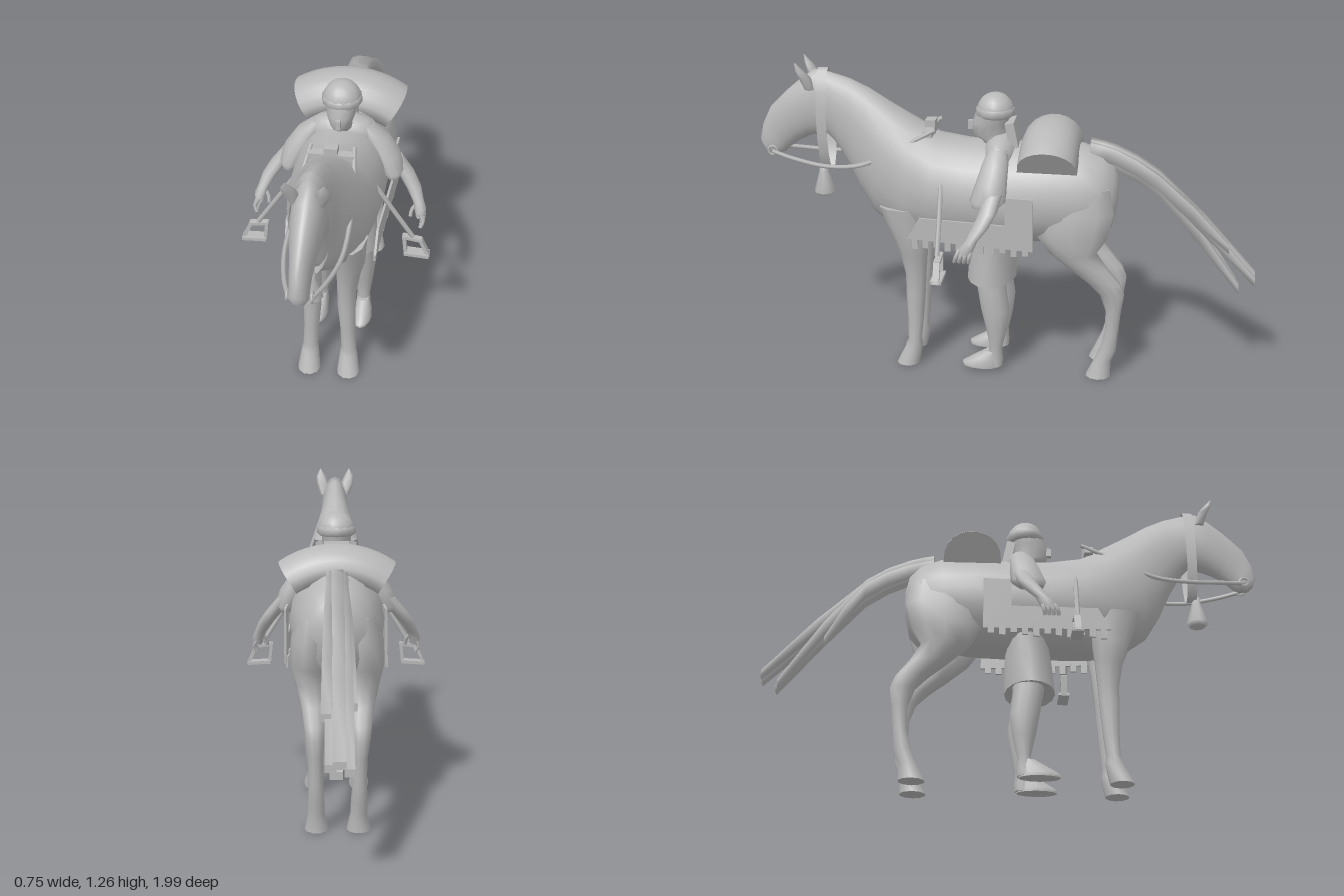
import * as THREE from 'three';

const grey = new THREE.MeshStandardMaterial({ color: 0xb8b8b8 });
grey.name = 'plain grey';
const greyTwoSided = new THREE.MeshStandardMaterial({ color: 0xb8b8b8, side: THREE.DoubleSide });
greyTwoSided.name = 'plain grey two sided';

const V = (x, y, z) => new THREE.Vector3(x, y, z);

// Skin a list of closed rings, capped at both ends, facing outward.
function loft(rings) {
  const n = rings[0].length, pos = [], idx = [];
  rings.forEach(r => r.forEach(p => pos.push(p.x, p.y, p.z)));
  for (let i = 0; i < rings.length - 1; i++) {
    for (let j = 0; j < n; j++) {
      const a = i * n + j, b = i * n + (j + 1) % n;
      idx.push(a, b, a + n, b, b + n, a + n);
    }
  }
  [0, rings.length - 1].forEach((ri, end) => {
    const c = rings[ri].reduce((s, p) => s.add(p), V(0, 0, 0)).divideScalar(n);
    const base = pos.length / 3;
    rings[ri].forEach(p => pos.push(p.x, p.y, p.z));
    pos.push(c.x, c.y, c.z);
    for (let j = 0; j < n; j++) {
      const a = base + j, b = base + (j + 1) % n;
      if (end) idx.push(a, b, base + n); else idx.push(b, a, base + n);
    }
  });
  // Flip the faces when the signed volume is negative.
  const at = i => V(pos[i * 3], pos[i * 3 + 1], pos[i * 3 + 2]);
  let volume = 0;
  for (let i = 0; i < idx.length; i += 3) volume += at(idx[i]).dot(at(idx[i + 1]).cross(at(idx[i + 2])));
  if (volume < 0) idx.reverse();
  const g = new THREE.BufferGeometry();
  g.setAttribute('position', new THREE.Float32BufferAttribute(pos, 3));
  g.setIndex(idx);
  g.computeVertexNormals();
  return g;
}

// Horizontal elliptical rings: [x, y, z, radiusX, radiusZ]
const limb = (list, n = 12) => loft(list.map(([x, y, z, rx, rz]) =>
  Array.from({ length: n }, (_, j) => {
    const a = j / n * Math.PI * 2;
    return V(x + rx * Math.cos(a), y, z + rz * Math.sin(a));
  })));

// Leg rings given by side outline: [y, zFront, zBack, x, halfWidth]
const leg = list => limb(list.map(([y, f, b, x, w]) => [x, y, (f + b) / 2, w, (f - b) / 2]), 10);

const tube = (pts, r, seg = 16) => new THREE.TubeGeometry(
  new THREE.CatmullRomCurve3(pts.map(p => V(...p))), seg, r, 5);

export function createModel() {
  const root = new THREE.Group();
  const add = (name, geo, parent = root, mat = grey) => {
    const m = new THREE.Mesh(geo, mat);
    m.name = name;
    parent.add(m);
    return m;
  };
  const box = (name, w, h, d, x, y, z, parent) => {
    const m = add(name, new THREE.BoxGeometry(w, h, d), parent);
    m.position.set(x, y, z);
    return m;
  };

  // Horse trunk, neck and head: [zTop, yTop, zBottom, yBottom, halfWidth]
  const trunk = [
    [-0.44, 0.83, -0.44, 0.72, 0.05], [-0.425, 0.89, -0.42, 0.63, 0.11], [-0.38, 0.935, -0.37, 0.58, 0.15],
    [-0.3, 0.965, -0.28, 0.57, 0.175], [-0.15, 0.97, -0.13, 0.56, 0.19], [0, 0.96, 0, 0.555, 0.19],
    [0.15, 0.965, 0.15, 0.555, 0.187], [0.27, 0.985, 0.3, 0.555, 0.178], [0.36, 1.04, 0.42, 0.565, 0.158],
    [0.46, 1.1, 0.53, 0.64, 0.125], [0.545, 1.155, 0.59, 0.74, 0.092], [0.62, 1.19, 0.635, 0.84, 0.072],
    [0.7, 1.213, 0.68, 0.92, 0.06], [0.76, 1.222, 0.72, 0.965, 0.06], [0.815, 1.185, 0.79, 0.95, 0.06],
    [0.88, 1.13, 0.84, 0.925, 0.05], [0.95, 1.06, 0.88, 0.895, 0.04], [0.985, 0.99, 0.9, 0.875, 0.036],
    [1.0, 0.93, 0.925, 0.865, 0.036], [0.985, 0.89, 0.955, 0.865, 0.02]];
  add('horseBody', loft(trunk.map(([zt, yt, zb, yb, w]) => Array.from({ length: 20 }, (_, j) => {
    const a = j / 20 * Math.PI * 2, t = (1 - Math.cos(a)) / 2;
    // Narrower towards the spine, fuller towards the belly
    const x = w * Math.sin(a) * (0.97 + 0.1 * (t - 0.5));
    return V(x, yt + (yb - yt) * t, zt + (zb - zt) * t);
  }))));

  // Tail strands fanning down and back: [xStart, xEnd, yOffset, zEnd, yEnd, width]
  [[-0.02, -0.035, 0, -0.92, 0.4, 0.036], [0.02, 0.03, 0.0, -0.99, 0.44, 0.04], [0, 0, 0.01, -0.99, 0.45, 0.045],
    [0.025, 0.045, 0.005, -0.88, 0.58, 0.035], [-0.025, -0.05, -0.02, -0.75, 0.58, 0.03], [0, 0.01, -0.03, -0.93, 0.395, 0.045]]
    .forEach(([x0, x1, dy, ze, ye, w]) => {
      const path = new THREE.CatmullRomCurve3([V(x0, 0.95 + dy, -0.33), V(x0, 0.925 + dy, -0.43),
        V((x0 + x1) / 2, 0.83 + dy, -0.6), V(x1, ye, ze)]);
      add('tailStrand', loft(path.getPoints(6).map((p, i) => {
        const h = i === 6 ? 0.014 : 0.028;
        return [V(p.x - w / 2, p.y + h, p.z), V(p.x + w / 2, p.y + h, p.z),
          V(p.x + w / 2, p.y - h, p.z), V(p.x - w / 2, p.y - h, p.z)];
      })));
    });

  // Bedroll: a domed section bent over the back
  const roll = [];
  for (let i = 0; i <= 12; i++) {
    const u = (i / 12 - 0.5) * 2, ang = u * 0.6;
    roll.push(Array.from({ length: 12 }, (_, j) => {
      const a = j / 11 * Math.PI;
      const r = 0.27 + 0.125 * Math.sin(a) ** 0.8;
      return V(r * Math.sin(ang), 0.668 + r * Math.cos(ang), -0.175 + 0.115 * Math.cos(a));
    }));
  }
  add('bedroll', loft(roll));

  // Saddle pommel
  box('pommel', 0.17, 0.025, 0.035, 0, 1.0, 0.3);
  box('pommelPost', 0.05, 0.1, 0.04, 0, 0.99, 0.3);

  // Bridle strap and bell
  const strap = add('neckStrap', new THREE.CylinderGeometry(1, 1, 0.04, 20, 1, true), root, greyTwoSided);
  strap.rotation.x = Math.PI / 2;
  strap.scale.set(0.072, 1, 0.21);
  strap.position.set(0, 1.02, 0.725);
  const bell = add('bell', new THREE.LatheGeometry([[0, 0.69], [0.03, 0.7], [0.045, 0.715], [0.02, 0.8], [0.016, 0.83], [0, 0.83]]
    .map(p => new THREE.Vector2(...p)), 8));
  bell.position.z = 0.745;

  // Rider's head, wrap and collar
  add('riderFace', limb([[0, 0.93, 0.03, 0.04, 0.04], [0, 0.97, 0.045, 0.045, 0.055], [0, 0.99, 0.07, 0.04, 0.065],
    [0, 1.04, 0.065, 0.057, 0.07], [0, 1.1, 0.05, 0.06, 0.065]]));
  box('riderNose', 0.018, 0.035, 0.03, 0, 1.025, 0.137);
  const cap = add('cap', new THREE.SphereGeometry(0.073, 14, 7, 0, Math.PI * 2, 0, Math.PI / 2), root, greyTwoSided);
  cap.position.set(0, 1.085, 0.045);
  add('capBand', limb([[0, 1.065, 0.045, 0.066, 0.066], [0, 1.075, 0.045, 0.077, 0.077],
    [0, 1.095, 0.045, 0.077, 0.077], [0, 1.102, 0.045, 0.07, 0.07]]));
  const shoulders = add('riderShoulders', new THREE.SphereGeometry(1, 16, 8));
  shoulders.scale.set(0.14, 0.08, 0.07);
  shoulders.position.set(0, 0.92, 0.02);
  box('collar', 0.1, 0.1, 0.035, 0, 1.0, -0.025).rotation.x = 0.2;

  // Rider's shorts
  add('shorts', limb([[0, 0.6, 0.05, 0.14, 0.085], [0, 0.5, 0.055, 0.143, 0.095], [0, 0.39, 0.06, 0.148, 0.1]], 16));

  // Paired parts, mirrored across x
  for (const s of [1, -1]) {
    const side = new THREE.Group();
    side.name = s > 0 ? 'leftSide' : 'rightSide';
    root.add(side);
    const mir = list => list.map(([x, ...rest]) => [x * s, ...rest]);
    const mirLeg = list => list.map(([y, f, b, x, w]) => [y, f, b, x * s, w]);

    add('frontLeg', leg(mirLeg([[0.7, 0.5, 0.28, 0.09, 0.06], [0.57, 0.45, 0.3, 0.085, 0.055], [0.5, 0.425, 0.31, 0.075, 0.047],
      [0.4, 0.405, 0.32, 0.068, 0.038], [0.32, 0.405, 0.325, 0.068, 0.036], [0.2, 0.4, 0.335, 0.073, 0.03], [0.11, 0.4, 0.345, 0.077, 0.03],
      [0.08, 0.41, 0.34, 0.078, 0.035], [0, 0.45, 0.355, 0.08, 0.046]])), side);
    add('hindLeg', leg(mirLeg([[0.82, -0.16, -0.42, 0.09, 0.06], [0.72, -0.12, -0.44, 0.1, 0.075], [0.62, -0.13, -0.415, 0.105, 0.075],
      [0.55, -0.18, -0.37, 0.1, 0.062], [0.48, -0.26, -0.415, 0.092, 0.05], [0.42, -0.335, -0.465, 0.088, 0.042], [0.37, -0.385, -0.485, 0.086, 0.036],
      [0.3, -0.41, -0.475, 0.083, 0.028], [0.2, -0.41, -0.465, 0.082, 0.027], [0.12, -0.39, -0.46, 0.081, 0.032],
      [0.07, -0.37, -0.44, 0.08, 0.032], [0, -0.337, -0.44, 0.08, 0.046]])), side);

    // Ear
    add('ear', limb(mir([[0.045, 1.15, 0.77, 0.02, 0.02], [0.056, 1.2, 0.785, 0.028, 0.022],
      [0.063, 1.23, 0.805, 0.02, 0.014], [0.064, 1.26, 0.82, 0.002, 0.002]]), 6), side);

    // Rein sagging from mouth to pommel, with a bit ring
    add('rein', tube(mir([[0.04, 0.885, 0.94], [0.07, 0.87, 0.85], [0.1, 0.855, 0.7], [0.105, 0.87, 0.56],
      [0.1, 0.94, 0.42], [0.08, 1.02, 0.27]]), 0.009, 24), side);
    const ring = add('bitRing', new THREE.TorusGeometry(0.018, 0.005, 5, 12), side);
    ring.rotation.y = Math.PI / 2;
    ring.position.set(s * 0.042, 0.89, 0.94);

    // Saddle skirt and its fringe
    const skirt = new THREE.Shape([[-0.37, 0.6], [-0.32, 0.69], [0.02, 0.685], [0.02, 0.8], [0.13, 0.8], [0.13, 0.585]]
      .map(p => new THREE.Vector2(...p)));
    const flap = new THREE.Group();
    flap.name = 'saddleFlap';
    flap.position.x = s * 0.19;
    flap.rotation.y = -s * 0.05;
    side.add(flap);
    add('saddleSkirt', new THREE.ExtrudeGeometry(skirt, { depth: 0.009, bevelEnabled: false }), flap).rotation.y = Math.PI / 2;
    for (let i = 0; i < 11; i++) {
      box('fringe', 0.009, 0.045, 0.024, 0, 0.58 + (i % 3) * 0.006, 0.34 - i * 0.044, flap);
    }

    // Stirrup strap and frame
    add('stirrupStrap', tube(mir([[0.15, 0.84, 0.235], [0.22, 0.725, 0.23], [0.305, 0.59, 0.225]]), 0.01, 4), side);
    const frame = [[0.27, 0.585], [0.335, 0.575], [0.365, 0.505], [0.278, 0.51]];
    frame.forEach((p, i) => {
      const q = frame[(i + 1) % 4], dx = q[0] - p[0], dy = q[1] - p[1];
      const bar = box('stirrupBar', Math.hypot(dx, dy) + 0.01, 0.013, i === 2 ? 0.045 : 0.025,
        s * (p[0] + q[0]) / 2, (p[1] + q[1]) / 2, 0.22, side);
      bar.rotation.z = Math.atan2(dy, s * dx);
    });

    // Rider's sleeve, arm and fingers
    add('sleeve', limb(mir([[0.09, 0.96, 0.02, 0.03, 0.035], [0.13, 0.915, 0.025, 0.05, 0.05], [0.17, 0.85, 0.035, 0.055, 0.06],
      [0.2, 0.785, 0.045, 0.045, 0.07], [0.205, 0.76, 0.055, 0.03, 0.05]])), side);
    add('forearm', limb(mir([[0.2, 0.82, 0.02, 0.035, 0.035], [0.25, 0.76, 0.035, 0.033, 0.035], [0.285, 0.71, 0.06, 0.03, 0.032],
      [0.308, 0.665, 0.09, 0.022, 0.024], [0.318, 0.64, 0.105, 0.024, 0.03], [0.32, 0.61, 0.115, 0.018, 0.026]]), 10), side);
    for (let i = 0; i < 4; i++) {
      add('finger', tube(mir([[0.32, 0.63, 0.09 + i * 0.015], [0.335, 0.605, 0.095 + i * 0.017], [0.325, 0.58, 0.1 + i * 0.018]]), 0.008, 4), side);
    }
    add('thumb', tube(mir([[0.305, 0.655, 0.095], [0.285, 0.63, 0.11], [0.282, 0.605, 0.12]]), 0.008, 4), side);

    // Rider's leg and foot
    add('riderLeg', limb(mir([[0.075, 0.45, 0.05, 0.055, 0.065], [0.08, 0.37, 0.05, 0.053, 0.06], [0.088, 0.27, 0.035, 0.05, 0.058],
      [0.09, 0.18, 0.03, 0.038, 0.042], [0.09, 0.1, 0.032, 0.027, 0.026], [0.09, 0.05, 0.035, 0.03, 0.032], [0.09, 0.02, 0.035, 0.03, 0.03]])), side);
    add('riderFoot', limb(mir([[0.093, 0.015, 0.09, 0.04, 0.08], [0.093, 0.03, 0.09, 0.04, 0.08],
      [0.092, 0.055, 0.07, 0.033, 0.058], [0.09, 0.085, 0.045, 0.025, 0.032]])), side);
  }
  return root;
}
